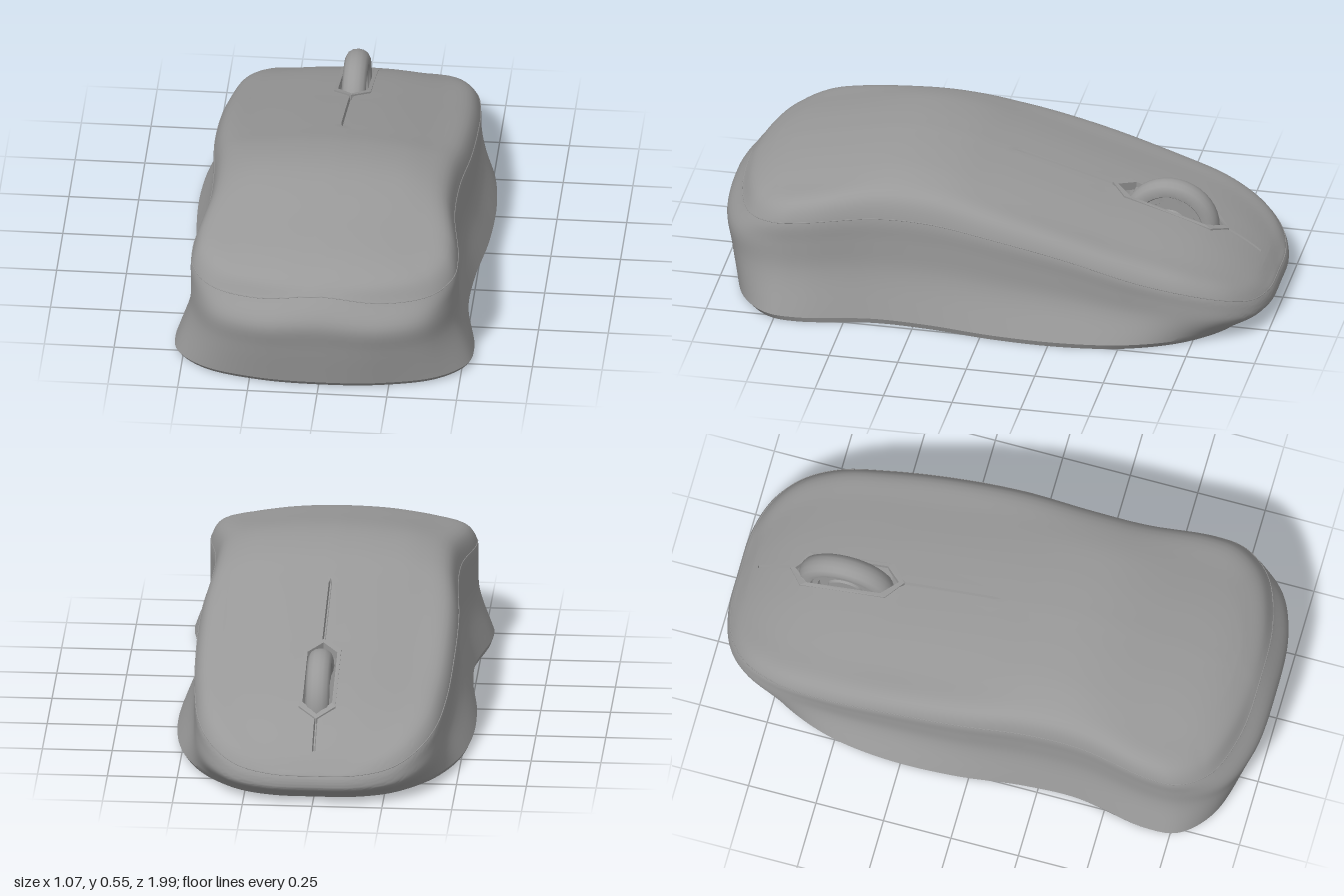
import * as THREE from 'three';
import { toCreasedNormals } from 'three/addons/utils/BufferGeometryUtils.js';

const V = (x, y, z) => new THREE.Vector3(x, y, z);
const lerp = THREE.MathUtils.lerp;
const grey = new THREE.MeshStandardMaterial({ color: 0x999999 });
const WHEEL_Z = -0.592;

// Height of the centre line along z
const spine = new THREE.CatmullRomCurve3([
  [-1, 0.07], [-0.97, 0.13], [-0.9, 0.195], [-0.75, 0.28], [-0.4, 0.39], [0, 0.5], [0.17, 0.54],
  [0.35, 0.55], [0.6, 0.505], [0.82, 0.45], [0.92, 0.395], [1, 0.29],
].map(([z, y]) => V(0, y, z))).getPoints(220);
function topY(z) {
  let i = 1;
  while (i < spine.length - 1 && spine[i].z < z) i++;
  const a = spine[i - 1], b = spine[i];
  return lerp(a.y, b.y, THREE.MathUtils.clamp((z - a.z) / (b.z - a.z), 0, 1));
}

// Half outlines from nose to tail: bottom lip and the seam below the top shell
const lip = [
  [0, 0.02, -0.93], [0.14, 0.02, -0.925], [0.26, 0.02, -0.885], [0.35, 0.02, -0.81], [0.43, 0.02, -0.7],
  [0.5, 0.02, -0.52], [0.53, 0.02, -0.3], [0.525, 0.02, -0.05], [0.495, 0.02, 0.2], [0.49, 0.02, 0.4],
  [0.535, 0.02, 0.67], [0.52, 0.02, 0.78], [0.42, 0.02, 0.88], [0.22, 0.02, 0.94], [0, 0.02, 0.955],
];
const seam = [
  [0, 0.11, -0.985], [0.15, 0.113, -0.98], [0.275, 0.13, -0.94], [0.36, 0.165, -0.865], [0.42, 0.205, -0.74],
  [0.45, 0.25, -0.55], [0.462, 0.32, -0.3], [0.46, 0.37, -0.05], [0.44, 0.4, 0.2], [0.44, 0.4, 0.4],
  [0.475, 0.375, 0.65], [0.465, 0.36, 0.76], [0.39, 0.345, 0.86], [0.22, 0.345, 0.925], [0, 0.37, 0.94],
];
function closedCurve(half) {
  const other = half.slice(1, -1).reverse().map(([x, y, z]) => [-x, y, z]);
  return new THREE.CatmullRomCurve3([...half, ...other].map((p) => V(...p)), true);
}
const lipCurve = closedCurve(lip), seamCurve = closedCurve(seam);

// Half width of the wheel opening and the split line between the buttons
function gap(z) {
  const d = 0.205 - Math.abs(z - WHEEL_Z);
  if (d > 0) return Math.min(0.058, 0.006 + d);
  return z > -0.92 && z < -0.02 ? 0.006 : 0;
}

// One column of the shell, from the base edge up to the centre line
function column(t, steps) {
  const b = lipCurve.getPoint(t), e = seamCurve.getPoint(t);
  const tail = THREE.MathUtils.smoothstep(e.z, 0.7, 0.94);
  const nose = THREE.MathUtils.smoothstep(-e.z, 0.5, 0.95);
  const end = e.z < 0 ? 0.055 : 0.11;
  const side = (k, w, back, front) => V(
    lerp(b.x, e.x, w) * (1 + front * nose),
    lerp(b.y, e.y, k),
    lerp(b.z, e.z, k) + back * tail - front * nose,
  );
  const top = (sx, sz) => {
    const x = e.x * sx, z = e.z * (1 - end * sz);
    return V(x, topY(z) - 0.28 * x * x, z);
  };
  const shoulder = top(0.925, 0.3);
  shoulder.y = lerp(e.y, topY(shoulder.z), lerp(1, 0.55, Math.min(1, Math.abs(e.x) / 0.4)));
  const ridge = top(0, 1.1);
  const open = gap(ridge.z);
  ridge.x = t < 0.5 ? open : -open;
  const path = new THREE.CatmullRomCurve3([
    b, side(0.45, 0.88, 0.035, 0.036), side(0.75, 0.97, 0.052, 0.022), e, shoulder,
    top(0.69, 0.8), top(0.35, 1), ridge,
  ]);
  const base = V(b.x * 0.985, 0, b.z * (b.z < 0 ? 0.97 : 0.98));
  // Sloping wall and floor of the gap
  const floorY = ridge.y - Math.min(0.1, open * 2.5);
  return [base, ...path.getPoints(steps), V(ridge.x * 0.35, floorY, ridge.z), V(0, floorY, ridge.z)];
}

function makeBody() {
  const around = 240, steps = 35, rows = steps + 4;
  const pos = [], index = [];
  for (let j = 0; j < around; j++) for (const p of column(j / around, steps)) pos.push(p.x, p.y, p.z);
  for (let j = 0; j < around; j++) {
    const n = (j + 1) % around;
    for (let i = 0; i < rows - 1; i++) {
      const a = j * rows + i, b = n * rows + i;
      index.push(a, a + 1, b, b, a + 1, b + 1);
    }
  }
  // Flat underside
  const centre = pos.length / 3;
  pos.push(0, 0, 0);
  for (let j = 0; j < around; j++) index.push(centre, j * rows, ((j + 1) % around) * rows);
  const g = new THREE.BufferGeometry();
  g.setAttribute('position', new THREE.Float32BufferAttribute(pos, 3));
  g.setIndex(index);
  return toCreasedNormals(g, 0.45);
}

function hexagon(Path, w, l) {
  const pts = [[0, l], [-w, l - 0.055], [-w, 0.055 - l], [0, -l], [w, 0.055 - l], [w, l - 0.055]];
  return new Path(pts.map(([x, y]) => new THREE.Vector2(x, y)));
}

// Rim of the wheel opening, laid along the slope of the top
function makeSurround() {
  const outline = hexagon(THREE.Shape, 0.066, 0.212);
  outline.holes.push(hexagon(THREE.Path, 0.053, 0.192));
  const g = new THREE.ExtrudeGeometry(outline, { depth: 0.03, bevelEnabled: false });
  g.rotateX(-Math.PI / 2).translate(0, -0.024, WHEEL_Z);
  const p = g.attributes.position;
  for (let i = 0; i < p.count; i++) p.setY(i, p.getY(i) + topY(p.getZ(i)));
  g.computeVertexNormals();
  return g;
}

// Rounded tyre with a stepped hub
function makeWheel() {
  const half = [[0, 0.03], [0.06, 0.03], [0.065, 0.022], [0.095, 0.022], [0.1, 0.033], [0.12, 0.033],
    [0.125, 0.04], [0.147, 0.043], [0.164, 0.034], [0.174, 0.018]];
  const profile = [...half.map(([r, h]) => [r, -h]), [0.177, 0], ...half.slice().reverse()];
  const g = new THREE.LatheGeometry(profile.map(([r, h]) => new THREE.Vector2(r, h)), 40);
  return toCreasedNormals(g.rotateZ(Math.PI / 2), 0.7);
}

export function createModel() {
  const model = new THREE.Group();
  const add = (name, geometry) => {
    const mesh = new THREE.Mesh(geometry, grey);
    mesh.name = name;
    model.add(mesh);
    return mesh;
  };
  add('body', makeBody());
  add('shellSeam', new THREE.TubeGeometry(seamCurve, 200, 0.002, 6, true));
  add('wheelSurround', makeSurround());
  add('scrollWheel', makeWheel()).position.set(0, 0.258, WHEEL_Z);
  return model;
}
